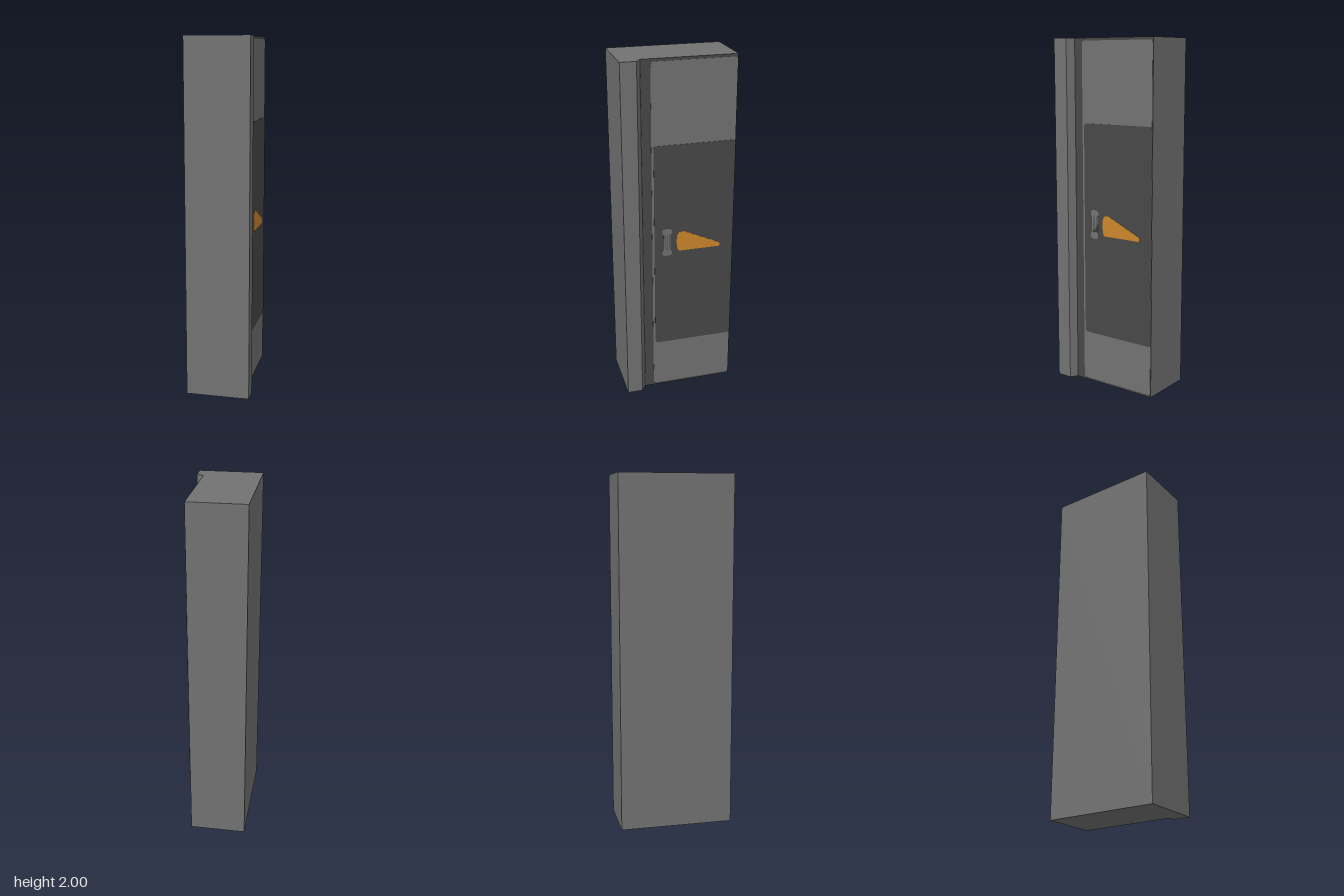
import * as THREE from 'three';

const paint = (name, color) => {
  const m = new THREE.MeshStandardMaterial({ color });
  m.name = name;
  return m;
};

// Rounded rectangle; u runs towards the back of the model (u = -z)
function roundedRect(u0, y0, u1, y1, r) {
  const s = new THREE.Shape();
  s.moveTo(u0 + r, y0);
  s.lineTo(u1 - r, y0);
  s.quadraticCurveTo(u1, y0, u1, y0 + r);
  s.lineTo(u1, y1 - r);
  s.quadraticCurveTo(u1, y1, u1 - r, y1);
  s.lineTo(u0 + r, y1);
  s.quadraticCurveTo(u0, y1, u0, y1 - r);
  s.lineTo(u0, y0 + r);
  s.quadraticCurveTo(u0, y0, u0 + r, y0);
  return s;
}

export function createModel() {
  const group = new THREE.Group();
  const grey = paint('casing grey', 0x727272);
  const dark = paint('dark grey', 0x484848);
  const orange = paint('orange', 0xcc862c);
  const faceX = 0.138;
  const layer = 0.0015;

  const add = (name, geometry, material) => {
    const mesh = new THREE.Mesh(geometry, material);
    mesh.name = name;
    group.add(mesh);
    return mesh;
  };

  // Thin plate on the recessed side face, stacked by level
  const plate = (name, shape, level, material) => {
    const g = new THREE.ExtrudeGeometry(shape, { depth: layer, bevelEnabled: false, curveSegments: 5 });
    g.rotateY(Math.PI / 2).translate(faceX + (level - 1) * layer, 0, 0);
    return add(name, g, material);
  };

  // Casing: plan outline with the chamfered front lip, extruded upwards
  const plan = new THREE.Shape([
    [-0.18, -0.323], [0.18, -0.323], [0.18, -0.235],
    [faceX, -0.208], [faceX, 0.323], [-0.18, 0.323],
  ].map(([x, y]) => new THREE.Vector2(x, y)));
  const casing = new THREE.ExtrudeGeometry(plan, { depth: 2, bevelEnabled: false });
  casing.rotateX(-Math.PI / 2);
  add('casing', casing, grey);

  // Side face: dark surround, grey door and dark middle panel
  plate('sideSurround', roundedRect(-0.207, 0, 0.323, 2, 0.0001), 1, dark);
  plate('door', roundedRect(-0.154, 0.012, 0.32, 1.985, 0.02), 2, grey);
  plate('middlePanel', roundedRect(-0.142, 0.3, 0.323, 1.53, 0.02), 3, dark);

  // Orange wedge marker with softened corners
  const wedge = new THREE.Shape();
  wedge.moveTo(0, 0.895);
  wedge.lineTo(0.24, 0.895);
  wedge.quadraticCurveTo(0.255, 0.912, 0.225, 0.926);
  wedge.lineTo(0.05, 1.005);
  wedge.quadraticCurveTo(0.03, 1.02, 0, 1.01);
  wedge.quadraticCurveTo(-0.013, 0.995, -0.013, 0.96);
  wedge.quadraticCurveTo(-0.013, 0.91, 0, 0.895);
  plate('wedgeMarker', wedge, 4, orange);

  // Small grey handle mark: two rounded ends joined by thin bars
  for (const y of [0.872, 1.0]) {
    plate('handleEnd', roundedRect(-0.096, y, -0.041, y + 0.04, 0.018), 4, grey);
  }
  for (let i = 0; i < 4; i++) {
    const u = -0.088 + i * 0.011;
    plate('handleBar', roundedRect(u, 0.91, u + 0.007, 1.002, 0.001), 4, grey);
  }
  return group;
}
